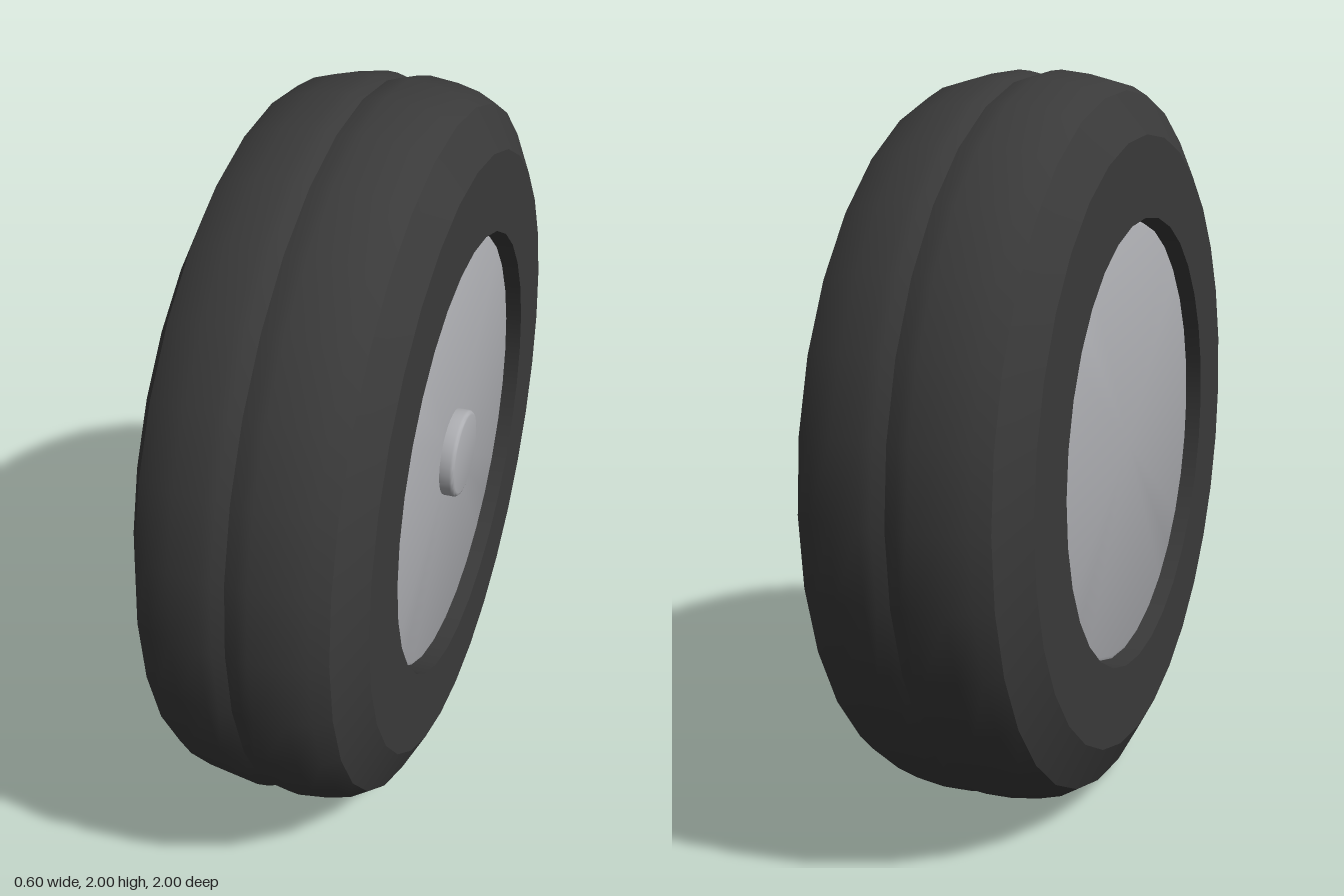
import * as THREE from 'three';
import { toCreasedNormals } from 'three/addons/utils/BufferGeometryUtils.js';

const SEGMENTS = 32;

// Revolve a list of [x, radius] points around the axle (x axis)
function revolve(name, profile, material, crease) {
  const points = profile.map(([x, r]) => new THREE.Vector2(r, x));
  let geometry = new THREE.LatheGeometry(points, SEGMENTS);
  geometry.rotateZ(-Math.PI / 2);
  geometry = toCreasedNormals(geometry, crease);
  const mesh = new THREE.Mesh(geometry, material);
  mesh.name = name;
  mesh.position.y = 1;
  return mesh;
}

// Solid cylinder profile with rounded rims; ends at x0 and x1
function roundedDisc(x0, x1, radius, bevel, steps) {
  const right = [];
  for (let i = 0; i <= steps; i++) {
    const a = (i / steps) * Math.PI / 2;
    right.push([x1 - bevel + bevel * Math.sin(a), radius - bevel + bevel * Math.cos(a)]);
  }
  const left = right.map(([x, r]) => [x0 + x1 - x, r]).reverse();
  return [[x0, 0], ...left, ...right, [x1, 0]];
}

export function createModel() {
  const rubber = new THREE.MeshStandardMaterial({ color: 0x3a3a3a });
  rubber.name = 'dark rubber';
  const metal = new THREE.MeshStandardMaterial({ color: 0xadaeb2 });
  metal.name = 'grey metal';

  const wheel = new THREE.Group();
  wheel.name = 'wheel';

  // Tyre: half profile from the bore out to the tread, mirrored about the centre groove
  const half = [
    [0.3, 0.617], [0.3, 0.835], [0.242, 0.948], [0.2, 0.973],
    [0.14, 0.989], [0.06, 1.0], [0.03, 0.997],
  ];
  const tyre = [
    ...half.map(([x, r]) => [-x, r]),
    [0, 0.988],
    ...half.slice().reverse(),
    [-0.3, 0.617],
  ];
  wheel.add(revolve('tyre', tyre, rubber, 0.42));

  // Recessed rim disc, with a narrow gap to the tyre
  wheel.add(revolve('rimDisc', roundedDisc(-0.26, 0.26, 0.606, 0.012, 2), metal, 0.6));

  // Hub cap on the outer side only
  wheel.add(revolve('hubCap', roundedDisc(0.2, 0.3, 0.122, 0.012, 3), metal, 0.6));

  return wheel;
}
